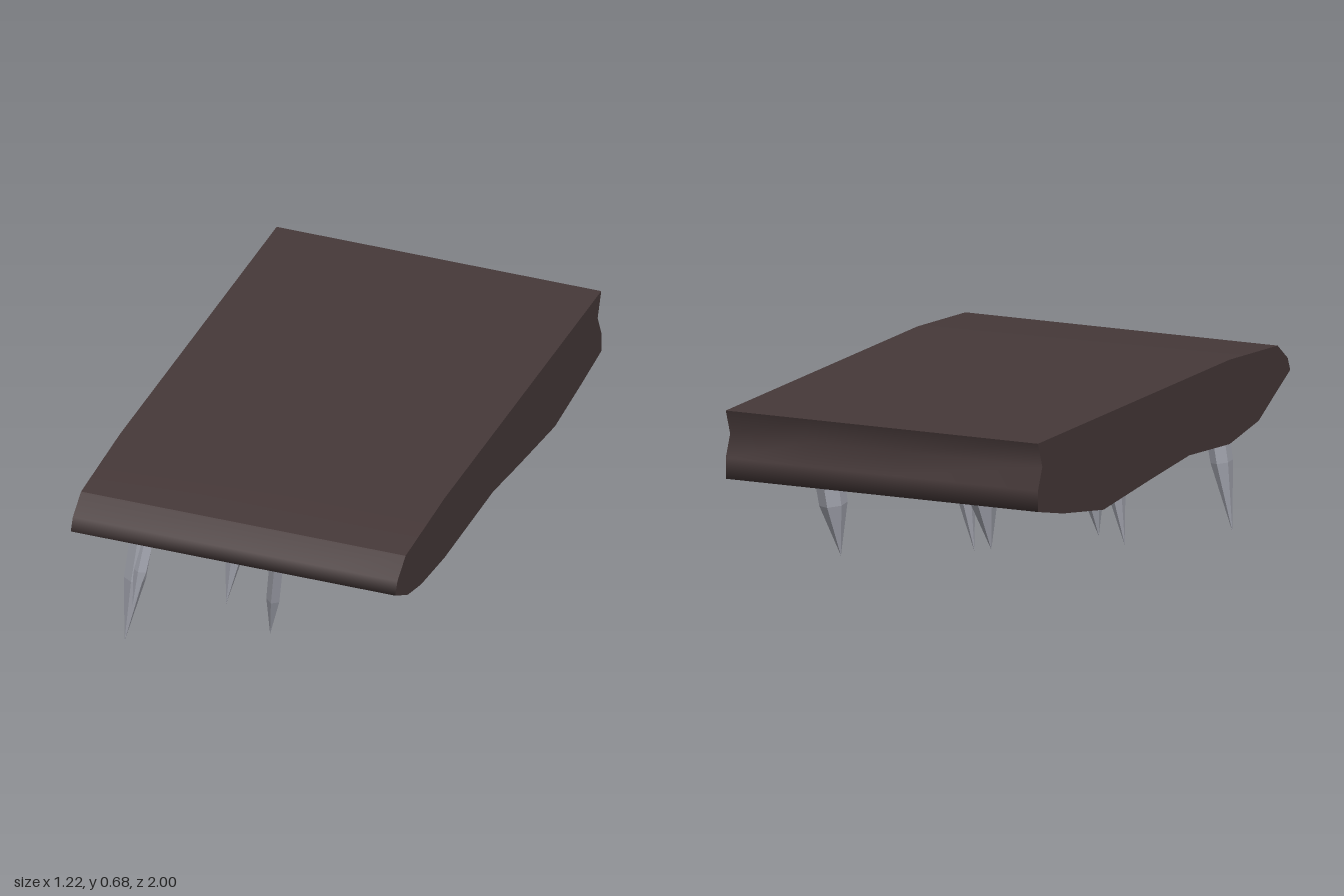
import * as THREE from 'three';

const rock = new THREE.MeshStandardMaterial({ color: 0x463939 });
rock.name = 'dark rock';
const stone = new THREE.MeshStandardMaterial({ color: 0xa3a5af });
stone.name = 'pale grey stone';

const HALF = 0.61;

// Profiles as [z, y]
const topLine = [[-1, 0.68], [0.52, 0.68], [0.9, 0.655]];
const nose = [[0.9, 0.655], [0.98, 0.595], [1, 0.548]];
const notch = [[-1, 0.51], [-0.965, 0.59], [-1, 0.68]];
const underRight = [[0.88, 0.485], [0.75, 0.415], [0.52, 0.377], [0.2, 0.4], [-0.1, 0.375], [-0.48, 0.34], [-0.8, 0.39], [-1, 0.435]];
const underLeft = [[0.88, 0.485], [0.75, 0.455], [0.52, 0.438], [0.05, 0.445], [-0.2, 0.415], [-0.55, 0.378], [-0.8, 0.407], [-1, 0.435]];
// Between the sides: front half like the left edge, rear half like the right
const underMiddle = underRight.map((p, i) => (i < 3 ? underLeft[i] : p));

// Smooth skin through equal-length profiles placed at given x
function skin(sections) {
  const pos = [], index = [], n = sections[0].line.length;
  for (const { x, line } of sections) for (const [z, y] of line) pos.push(x, y, z);
  for (let i = 0; i < sections.length - 1; i++) {
    for (let j = 0; j < n - 1; j++) {
      const a = i * n + j, b = a + n;
      index.push(a, a + 1, b, b, a + 1, b + 1);
    }
  }
  const g = new THREE.BufferGeometry();
  g.setAttribute('position', new THREE.Float32BufferAttribute(pos, 3));
  g.setIndex(index);
  g.computeVertexNormals();
  return g;
}

// Flat side wall; side is +1 (left) or -1 (right)
function wall(under, side) {
  const outline = [...topLine, ...nose.slice(1), ...under, ...notch.slice(0, 2)];
  const shape = new THREE.Shape(outline.map(([z, y]) => new THREE.Vector2(-side * z, y)));
  return new THREE.ShapeGeometry(shape).rotateY(side * Math.PI / 2).translate(side * HALF, 0, 0);
}

// Faceted shard: prism that narrows to a point at the tip
function shard(name, tip, top, radius, shoulder, sides) {
  const from = new THREE.Vector3(...tip);
  const axis = new THREE.Vector3(...top).sub(from);
  const len = axis.length() + 0.03;
  const g = new THREE.LatheGeometry([
    new THREE.Vector2(0, 0),
    new THREE.Vector2(radius * 0.95, len * shoulder),
    new THREE.Vector2(radius, len),
    new THREE.Vector2(0, len),
  ], sides).toNonIndexed();
  g.computeVertexNormals();
  const mesh = new THREE.Mesh(g, stone);
  mesh.name = name;
  mesh.position.copy(from);
  mesh.quaternion.setFromUnitVectors(new THREE.Vector3(0, 1, 0), axis.normalize());
  return mesh;
}

export function createModel() {
  const model = new THREE.Group();
  model.name = 'rockCeilingWithSpikes';

  // Slab
  const slab = new THREE.Group();
  slab.name = 'rockSlab';
  const add = (name, geometry) => {
    const m = new THREE.Mesh(geometry, rock);
    m.name = name;
    slab.add(m);
  };
  add('slabTop', skin([-HALF, HALF].map((x) => ({ x, line: topLine }))));
  const stations = [[-HALF, underRight], [-0.05, underRight], [0.3, underMiddle], [HALF, underLeft]];
  add('slabUnderside', skin(stations.map(([x, under]) => ({ x, line: [...nose, ...under, ...notch] }))));
  add('leftWall', wall(underLeft, 1));
  add('rightWall', wall(underRight, -1));
  model.add(slab);

  // Long spikes, each with a small shard at its side
  for (const [x, z, h] of [[-0.495, 0.775, 0.41], [-0.255, 0.41, 0.39], [0.175, 0.09, 0.4]]) {
    const pair = new THREE.Group();
    pair.name = 'longSpikePair';
    pair.add(shard('longSpike', [x, 0, z], [x + 0.05, h, z - 0.035], 0.042, 0.58, 6));
    pair.add(shard('sideShard', [x + 0.042, 0.17, z + 0.03], [x + 0.075, h, z - 0.02], 0.027, 0.5, 5));
    model.add(pair);
  }

  // Short thick spikes
  for (const [x, z, h] of [[-0.345, 0.02, 0.37], [-0.105, -0.345, 0.35], [0.325, -0.665, 0.36]]) {
    model.add(shard('shortSpike', [x, 0.12, z], [x + 0.025, h, z - 0.025], 0.053, 0.7, 6));
  }

  // Thin slanted shards
  model.add(shard('frontShard', [0.06, 0.16, 0.795], [0.115, 0.48, 0.875], 0.027, 0.5, 5));
  model.add(shard('leftShard', [0.215, 0.235, 0.47], [0.255, 0.425, 0.46], 0.027, 0.55, 5));

  return model;
}
